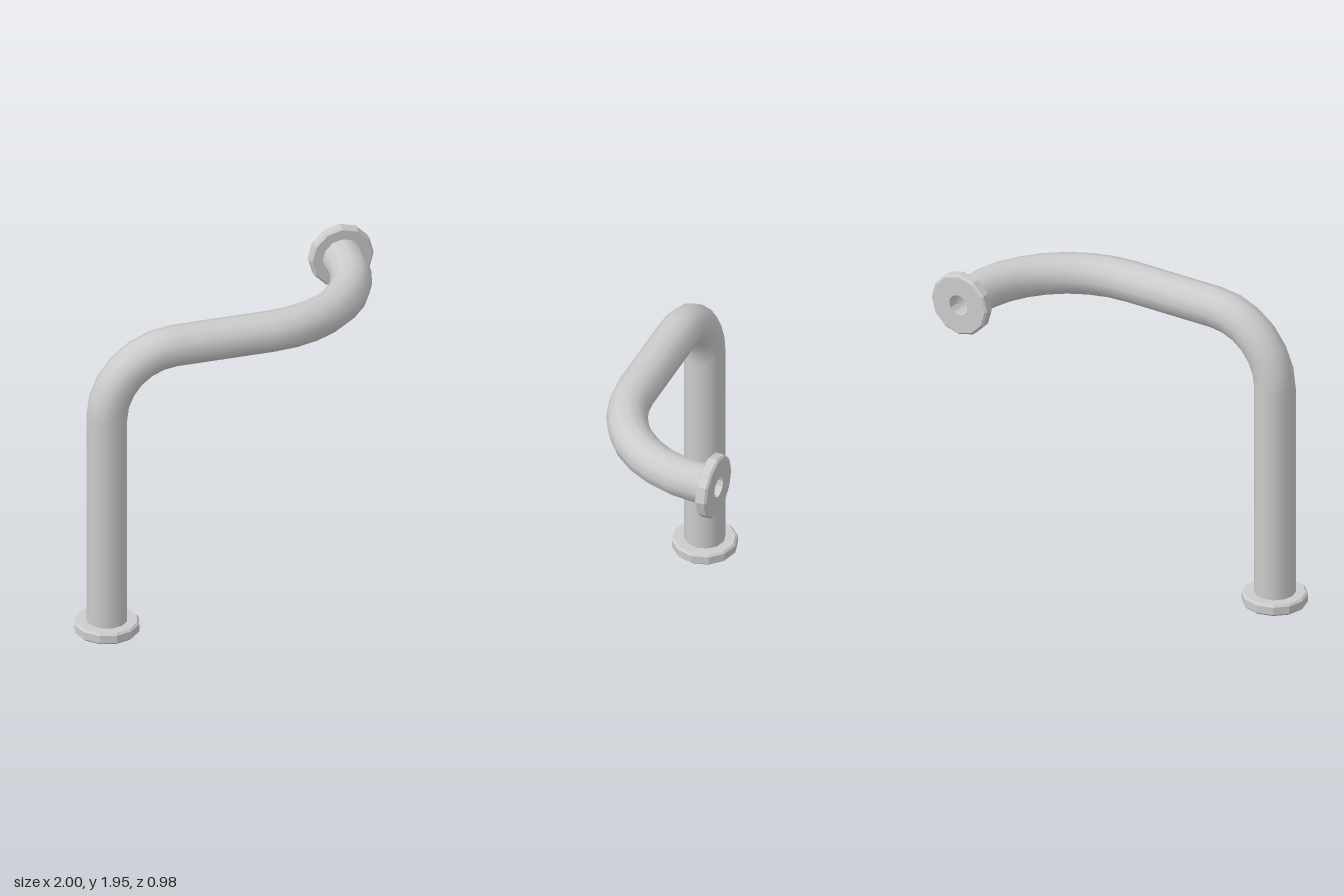
import * as THREE from 'three';

const PIPE_R = 0.118, BORE_R = 0.062, FLANGE_R = 0.188, FLANGE_T = 0.07, SIDES = 12;
const X = 0.812, Y = 1.757, Z = 0.298, BACK = -0.49;

// Curve through fixed stations, so each bend keeps its own number of segments
class StationCurve extends THREE.Curve {
  constructor(stations) {
    super();
    this.stations = stations;
  }
  at(u) { return this.stations[Math.round(u * (this.stations.length - 1))]; }
  getPoint(u) { return this.at(u).p.clone(); }
  getPointAt(u) { return this.getPoint(u); }
  getTangentAt(u) { return this.at(u).t.clone(); }
}

// Quarter bend around a corner, from direction a to direction b
function bend(corner, a, b, radius, segments) {
  const list = [];
  for (let i = 0; i <= segments; i++) {
    const k = (i / segments) * Math.PI / 2, s = Math.sin(k), c = Math.cos(k);
    const p = corner.clone()
      .addScaledVector(a, radius * (s - 1))
      .addScaledVector(b, radius * (1 - c));
    const t = a.clone().multiplyScalar(c).addScaledVector(b, s);
    list.push({ p, t });
  }
  return list;
}

export function createModel() {
  const group = new THREE.Group();
  group.name = 'flangedPipe';
  const smooth = new THREE.MeshStandardMaterial({ color: 0xcccccc });
  const inside = new THREE.MeshStandardMaterial({ color: 0xcccccc, side: THREE.BackSide });
  const flat = new THREE.MeshStandardMaterial({ color: 0xcccccc, flatShading: true });

  const add = (name, geometry, material) => {
    const mesh = new THREE.Mesh(geometry, material);
    mesh.name = name;
    group.add(mesh);
    return mesh;
  };

  // Centre line: up from the floor, across to the left, then back to the wall
  const up = new THREE.Vector3(0, 1, 0);
  const across = new THREE.Vector3(1, 0, 0);
  const back = new THREE.Vector3(0, 0, -1);
  const path = new StationCurve([
    { p: new THREE.Vector3(-X, FLANGE_T / 2, Z), t: up },
    ...bend(new THREE.Vector3(-X, Y, Z), up, across, 0.4, 6),
    ...bend(new THREE.Vector3(X, Y, Z), across, back, 0.65, 8),
    { p: new THREE.Vector3(X, Y, BACK + FLANGE_T / 2), t: back },
  ]);
  const steps = path.stations.length - 1;
  add('pipe', new THREE.TubeGeometry(path, steps, PIPE_R, SIDES), smooth);
  add('pipeBore', new THREE.TubeGeometry(path, steps, BORE_R, SIDES), inside);

  // Bevelled ring flange, used at both ends
  const bevel = 0.012;
  const profile = [
    [BORE_R, 0], [FLANGE_R - bevel, 0], [FLANGE_R, bevel], [FLANGE_R, FLANGE_T - bevel],
    [FLANGE_R - bevel, FLANGE_T], [BORE_R, FLANGE_T], [BORE_R, 0],
  ].map(([r, y]) => new THREE.Vector2(r, y));
  const flange = new THREE.LatheGeometry(profile, SIDES);
  add('floorFlange', flange, flat).position.set(-X, 0, Z);
  const wall = add('wallFlange', flange, flat);
  wall.position.set(X, Y, BACK);
  wall.rotation.x = Math.PI / 2;

  return group;
}
